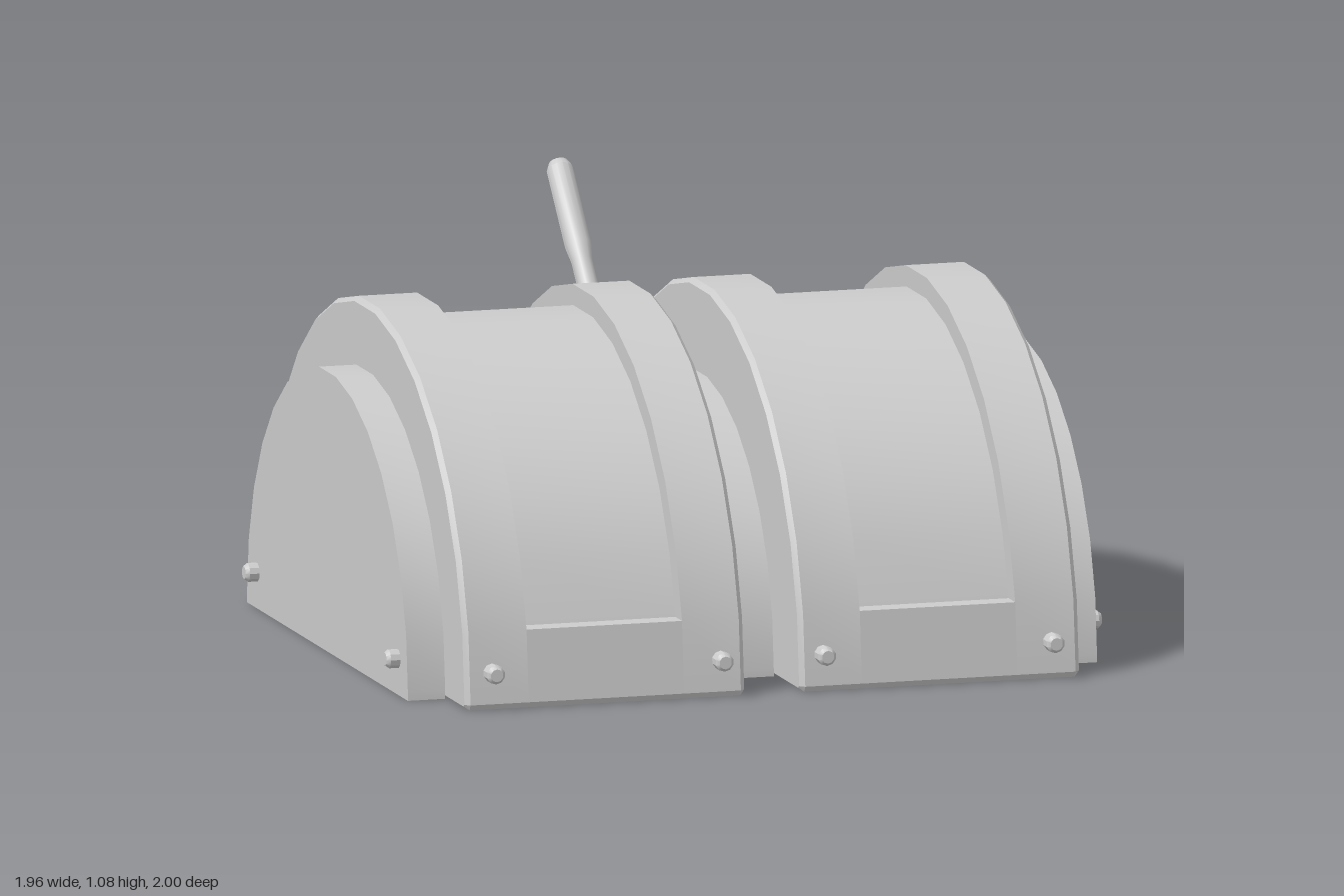
import * as THREE from 'three';
import { toCreasedNormals } from 'three/addons/utils/BufferGeometryUtils.js';

const material = new THREE.MeshStandardMaterial({ color: 0xcccccc });
const SEGMENTS = 15;

// Half-round outline as [z, y] points, from the front foot over the top to the back foot
function halfRound(r, y0, footInset = 0, bottom = 0) {
  const pts = [[r - footInset, bottom]];
  for (let i = 0; i <= SEGMENTS; i++) {
    const a = (Math.PI * i) / SEGMENTS;
    pts.push([r * Math.cos(a), y0 + r * Math.sin(a)]);
  }
  pts.push([footInset - r, bottom]);
  return pts;
}

// Drum outline with a chamfered foot, shrunk by inset for the bevelled edges
const drumOutline = (inset) => halfRound(0.914 - inset, 0.015, 0.01, inset * 0.7);

// Drum outline with the sunken band between the two ledges
function recessOutline() {
  const outer = drumOutline(0);
  const inner = halfRound(0.853, 0.02);
  const n = outer.length;
  const ledgeY = outer[2][1];
  return [
    ...outer.slice(0, 3), [inner[2][0], ledgeY],
    ...inner.slice(3, n - 3),
    [inner[n - 3][0], ledgeY], ...outer.slice(n - 3),
  ];
}

// Skin a list of [x, outline] cross-sections, x increasing, with optional end caps
function loft(name, sections, capped = true) {
  const pos = [];
  const put = ([x, pts], j) => pos.push(x, pts[j][1], pts[j][0]);
  const n = sections[0][1].length;
  for (let i = 0; i < sections.length - 1; i++) {
    const a = sections[i], b = sections[i + 1];
    for (let j = 0; j < n; j++) {
      const k = (j + 1) % n;
      put(a, j); put(b, j); put(a, k);
      put(b, j); put(b, k); put(a, k);
    }
  }
  if (capped) {
    const first = sections[0], last = sections[sections.length - 1];
    for (let j = 0; j < n; j++) {
      const k = (j + 1) % n;
      pos.push(first[0], 0.05, 0); put(first, j); put(first, k);
      pos.push(last[0], 0.05, 0); put(last, k); put(last, j);
    }
  }
  const geo = new THREE.BufferGeometry();
  geo.setAttribute('position', new THREE.Float32BufferAttribute(pos, 3));
  return named(name, toCreasedNormals(geo, 0.45));
}

function named(name, geo) {
  const mesh = new THREE.Mesh(geo, material);
  mesh.name = name;
  return mesh;
}

// Solid of revolution around y from [radius, y] points
function lathe(points, sides) {
  const geo = new THREE.LatheGeometry(points.map(([r, y]) => new THREE.Vector2(r, y)), sides);
  return toCreasedNormals(geo.toNonIndexed(), 0.6);
}

const boltGeometry = lathe([[0.025, -0.04], [0.025, 0.025], [0.017, 0.035], [0, 0.035]], 10);

// Bolt sticking out along a direction
function bolt(x, y, z, direction) {
  const mesh = named('bolt', boltGeometry);
  mesh.position.set(x, y, z);
  mesh.quaternion.setFromUnitVectors(new THREE.Vector3(0, 1, 0), direction);
  return mesh;
}

export function createModel() {
  const model = new THREE.Group();
  model.name = 'throttleQuadrant';
  const body = new THREE.Group();
  body.name = 'body';
  body.position.z = 0.05;
  model.add(body);

  // Centre hub between the drums
  const hub = halfRound(0.672, 0.02);
  body.add(loft('centreHub', [[-0.075, hub], [0.075, hub]]));

  const bevel = 0.013;
  const full = drumOutline(0), small = drumOutline(bevel);
  const disc = halfRound(0.727, 0.022);
  const recess = recessOutline();

  for (const side of [-1, 1]) {
    const drum = new THREE.Group();
    drum.name = side > 0 ? 'leftDrum' : 'rightDrum';
    const span = (name, list, capped) => {
      const sections = list.map(([x, o]) => [side * x, o]).sort((a, b) => a[0] - b[0]);
      drum.add(loft(name, sections, capped));
    };
    // Raised rims, bevelled on the side away from the sunken band
    span('innerRim', [[0.075, small], [0.075 + bevel, full], [0.243, full]]);
    span('outerRim', [[0.668, full], [0.84 - bevel, full], [0.84, small]]);
    span('sunkenBand', [[0.243, recess], [0.668, recess]], false);
    // Smaller end disc
    span('endDisc', [[0.84, disc], [0.942, disc]]);

    // Bolts along the feet and on the end disc
    for (const end of [-1, 1]) {
      for (const x of [0.14, 0.765]) {
        drum.add(bolt(side * x, 0.097, end * 0.914, new THREE.Vector3(0, 0, end)));
      }
      drum.add(bolt(side * 0.943, 0.097, end * 0.637, new THREE.Vector3(side, 0, 0)));
    }
    body.add(drum);
  }

  // Lever with a thicker grip, leaning back out of the hub
  const base = new THREE.Vector3(0, 0.46, -0.45);
  const tip = new THREE.Vector3(0, 1.064, -1.028);
  const axis = tip.clone().sub(base);
  const length = axis.length();
  const lever = named('lever', lathe([
    [0, 0], [0.028, 0], [0.028, length - 0.31], [0.035, length - 0.26],
    [0.035, length - 0.02], [0.026, length], [0, length],
  ], 14));
  lever.position.copy(base);
  lever.quaternion.setFromUnitVectors(new THREE.Vector3(0, 1, 0), axis.normalize());
  body.add(lever);

  return model;
}
